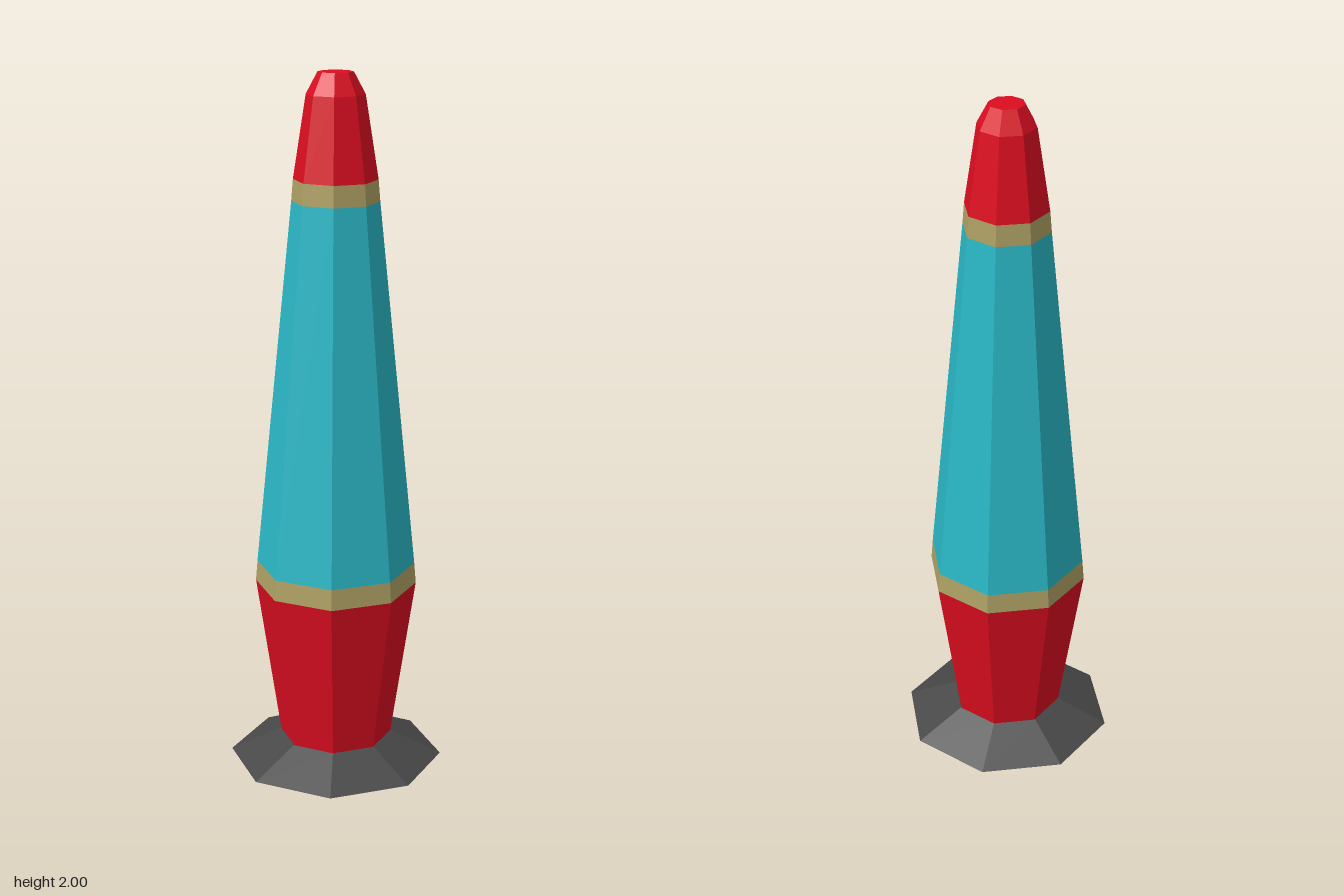
import * as THREE from 'three';

const SIDES = 8;
const material = (color) =>
  new THREE.MeshStandardMaterial({ color, flatShading: true, side: THREE.DoubleSide });

export function createModel() {
  const group = new THREE.Group();
  group.name = 'lavaLamp';

  const red = material(0xdc0d20);
  const gold = material(0xaea064);
  const teal = material(0x2ab8c6);
  const dark = material(0x484848);

  // Eight-sided tapered section between two heights
  function section(name, mat, y0, r0, y1, r1, open = true) {
    const geometry = new THREE.CylinderGeometry(r1, r0, y1 - y0, SIDES, 1, open);
    geometry.translate(0, (y0 + y1) / 2, 0);
    const mesh = new THREE.Mesh(geometry, mat);
    mesh.name = name;
    group.add(mesh);
    return mesh;
  }

  // Flared foot, very slightly narrower front to back
  section('foot', dark, 0, 0.31, 0.07, 0.165, false).scale.z = 0.982;

  // Lower body, glass and the two trim bands
  section('body', red, 0.07, 0.162, 0.54, 0.232);
  section('lowerBand', gold, 0.54, 0.232, 0.6, 0.227);
  section('glass', teal, 0.6, 0.227, 1.65, 0.122);
  section('upperBand', gold, 1.65, 0.122, 1.71, 0.117);

  // Cap with a bevelled, flat tip
  section('cap', red, 1.71, 0.117, 1.94, 0.081);
  section('capTip', red, 1.94, 0.081, 2, 0.049, false);

  return group;
}
